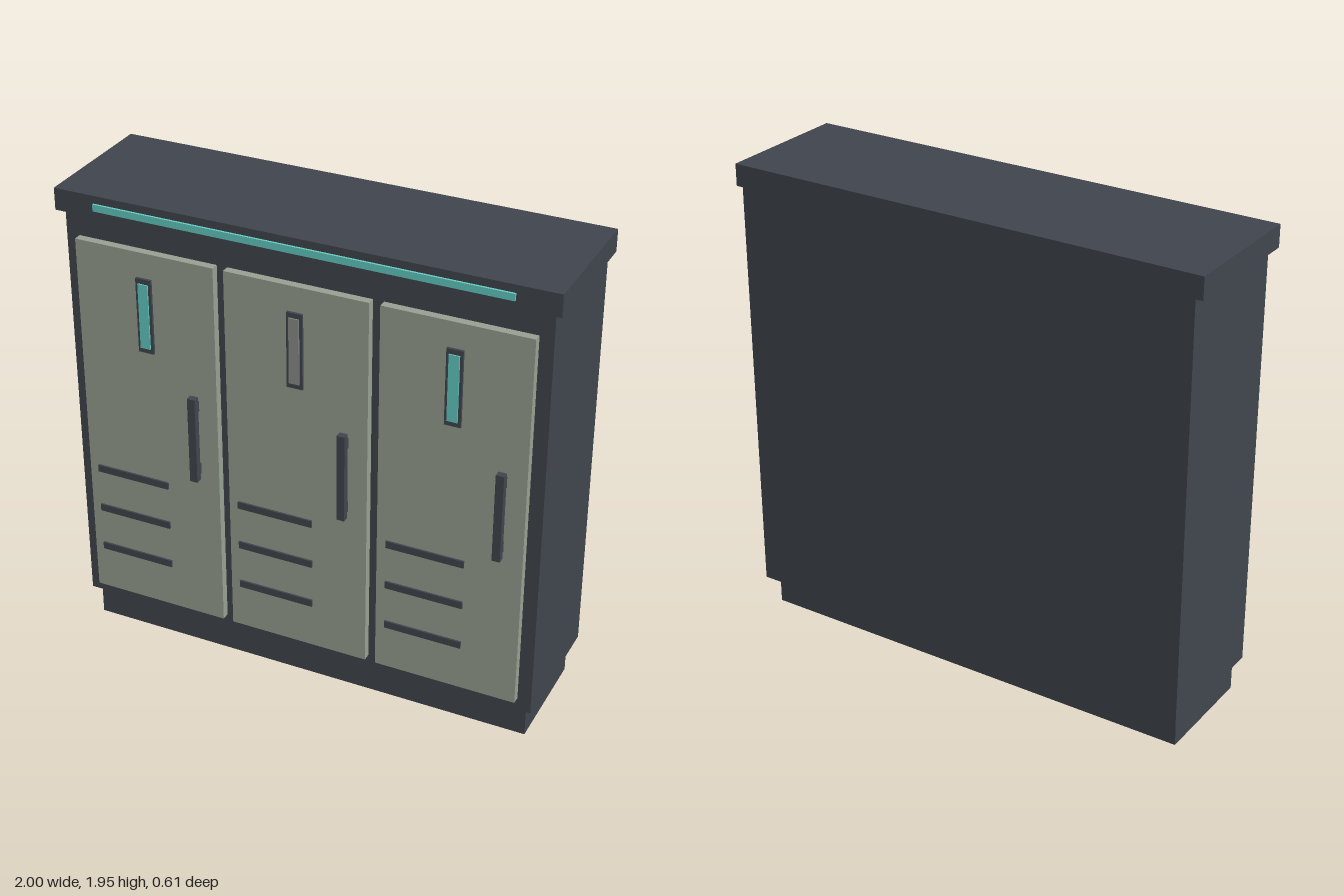
import * as THREE from 'three';

const dark = new THREE.MeshStandardMaterial({ color: 0x41464e });
dark.name = 'charcoal';
const sage = new THREE.MeshStandardMaterial({ color: 0x99a193 });
sage.name = 'sage';
const glow = new THREE.MeshStandardMaterial({ color: 0x66cfc6 });
glow.name = 'turquoise';
const grey = new THREE.MeshStandardMaterial({ color: 0x8b8f8a });
grey.name = 'unlit grey';

// Box given by its lower and upper limits on each axis
function box(parent, name, material, [x0, x1], [y0, y1], [z0, z1]) {
  const mesh = new THREE.Mesh(new THREE.BoxGeometry(x1 - x0, y1 - y0, z1 - z0), material);
  mesh.position.set((x0 + x1) / 2, (y0 + y1) / 2, (z0 + z1) / 2);
  mesh.name = name;
  parent.add(mesh);
}

// One locker door with its fittings, centred on x = 0
function createDoor(lensMaterial) {
  const door = new THREE.Group();
  door.name = 'door';
  box(door, 'doorPanel', sage, [-0.291, 0.291], [0.19, 1.76], [0.235, 0.268]);

  // Status window
  box(door, 'windowFrame', dark, [-0.032, 0.032], [1.347, 1.657], [0.268, 0.279]);
  box(door, 'windowLens', lensMaterial, [-0.021, 0.021], [1.367, 1.637], [0.279, 0.284]);

  // Vent slats
  for (const y of [0.393, 0.578, 0.763]) {
    box(door, 'ventSlat', dark, [-0.252, 0.064], [y - 0.015, y + 0.015], [0.268, 0.276]);
  }

  // Handle bar on two standoffs
  box(door, 'handleBar', dark, [0.184, 0.216], [0.84, 1.207], [0.279, 0.307]);
  for (const y of [0.885, 1.163]) {
    box(door, 'handleStandoff', dark, [0.186, 0.214], [y - 0.022, y + 0.022], [0.268, 0.279]);
  }
  return door;
}

export function createModel() {
  const model = new THREE.Group();
  model.name = 'lockerCabinet';

  // Carcass
  box(model, 'plinth', dark, [-0.943, 0.943], [0, 0.134], [-0.25, 0.205]);
  box(model, 'body', dark, [-0.971, 0.971], [0.134, 1.857], [-0.307, 0.234]);
  box(model, 'topSlab', dark, [-1, 1], [1.857, 1.946], [-0.307, 0.258]);
  box(model, 'lightStrip', glow, [-0.832, 0.832], [1.887, 1.915], [0.258, 0.267]);

  // Three doors; the middle lens is unlit
  [glow, grey, glow].forEach((lens, i) => {
    const door = createDoor(lens);
    door.position.x = (i - 1) * 0.625;
    model.add(door);
  });
  return model;
}
